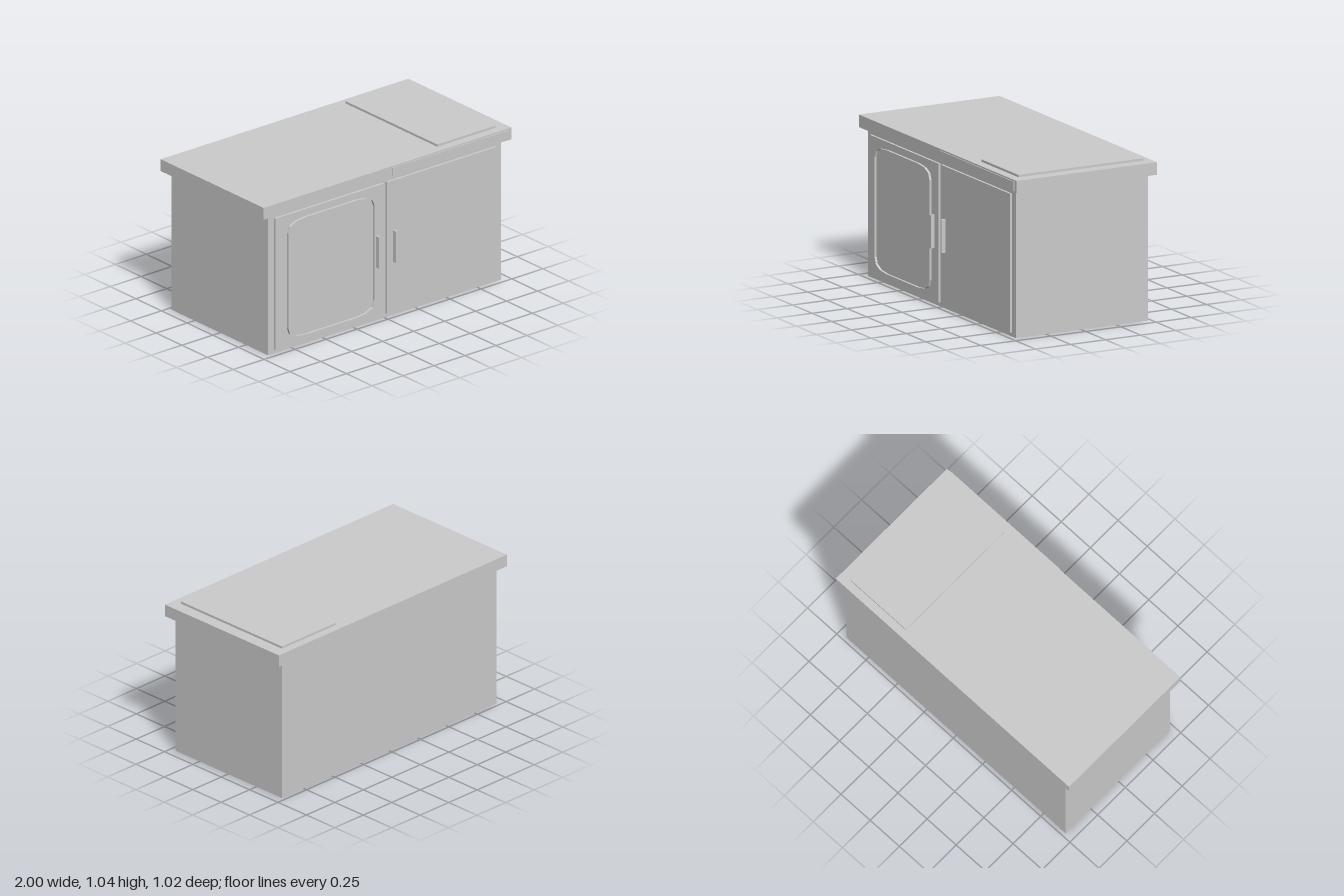
import * as THREE from 'three';

const material = new THREE.MeshStandardMaterial({ color: 0xcccccc, flatShading: true });
const thinMaterial = new THREE.MeshStandardMaterial({ color: 0xcccccc, flatShading: true, side: THREE.DoubleSide });

// Box given by its limits on each axis
function slab(name, [x0, x1], [y0, y1], [z0, z1]) {
  const mesh = new THREE.Mesh(new THREE.BoxGeometry(x1 - x0, y1 - y0, z1 - z0), material);
  mesh.position.set((x0 + x1) / 2, (y0 + y1) / 2, (z0 + z1) / 2);
  mesh.name = name;
  return mesh;
}

// Open rim: a closed outline swept along z, without caps
function rim(name, outline, z0, z1) {
  const positions = [];
  const index = [];
  const n = outline.length;
  outline.forEach(([x, y], i) => {
    positions.push(x, y, z0, x, y, z1);
    const a = 2 * i, b = 2 * ((i + 1) % n);
    index.push(a, b, b + 1, a, b + 1, a + 1);
  });
  const geometry = new THREE.BufferGeometry();
  geometry.setAttribute('position', new THREE.Float32BufferAttribute(positions, 3));
  geometry.setIndex(index);
  geometry.computeVertexNormals();
  const mesh = new THREE.Mesh(geometry, thinMaterial);
  mesh.name = name;
  return mesh;
}

export function createModel() {
  const model = new THREE.Group();
  model.name = 'kitchenCabinet';

  // Carcass and overhanging worktop
  model.add(slab('cabinetBody', [-0.94, 0.94], [0, 0.942], [-0.475, 0.465]));
  model.add(slab('worktop', [-1, 1], [0.942, 1.022], [-0.508, 0.495]));

  // Hob plate and control strip
  model.add(slab('hobPlate', [0.45, 0.92], [1.022, 1.037], [-0.455, 0.437]));
  model.add(slab('controlStrip', [0.035, 0.975], [0.953, 1.012], [0.495, 0.501]));

  // Doors
  model.add(slab('rightDoor', [-0.892, -0.015], [0.026, 0.915], [0.465, 0.48]));
  model.add(slab('leftDoor', [0.01, 0.89], [0.026, 0.915], [0.465, 0.48]));

  // Handles either side of the gap
  model.add(slab('rightHandle', [-0.081, -0.064], [0.365, 0.578], [0.48, 0.508]));
  model.add(slab('leftHandle', [0.058, 0.075], [0.365, 0.578], [0.48, 0.508]));

  // Raised rim on the right door: one rounded corner mirrored into four
  const corner = [[0.3475, 0.32], [0.333, 0.362], [0.28, 0.388], [0.2, 0.3965]];
  const outline = [];
  for (const [sx, sy] of [[1, 1], [-1, 1], [-1, -1], [1, -1]]) {
    const points = sx * sy > 0 ? corner : [...corner].reverse();
    for (const [x, y] of points) outline.push([-0.4525 + sx * x, 0.4715 + sy * y]);
  }
  model.add(rim('doorRim', outline, 0.48, 0.495));

  return model;
}
